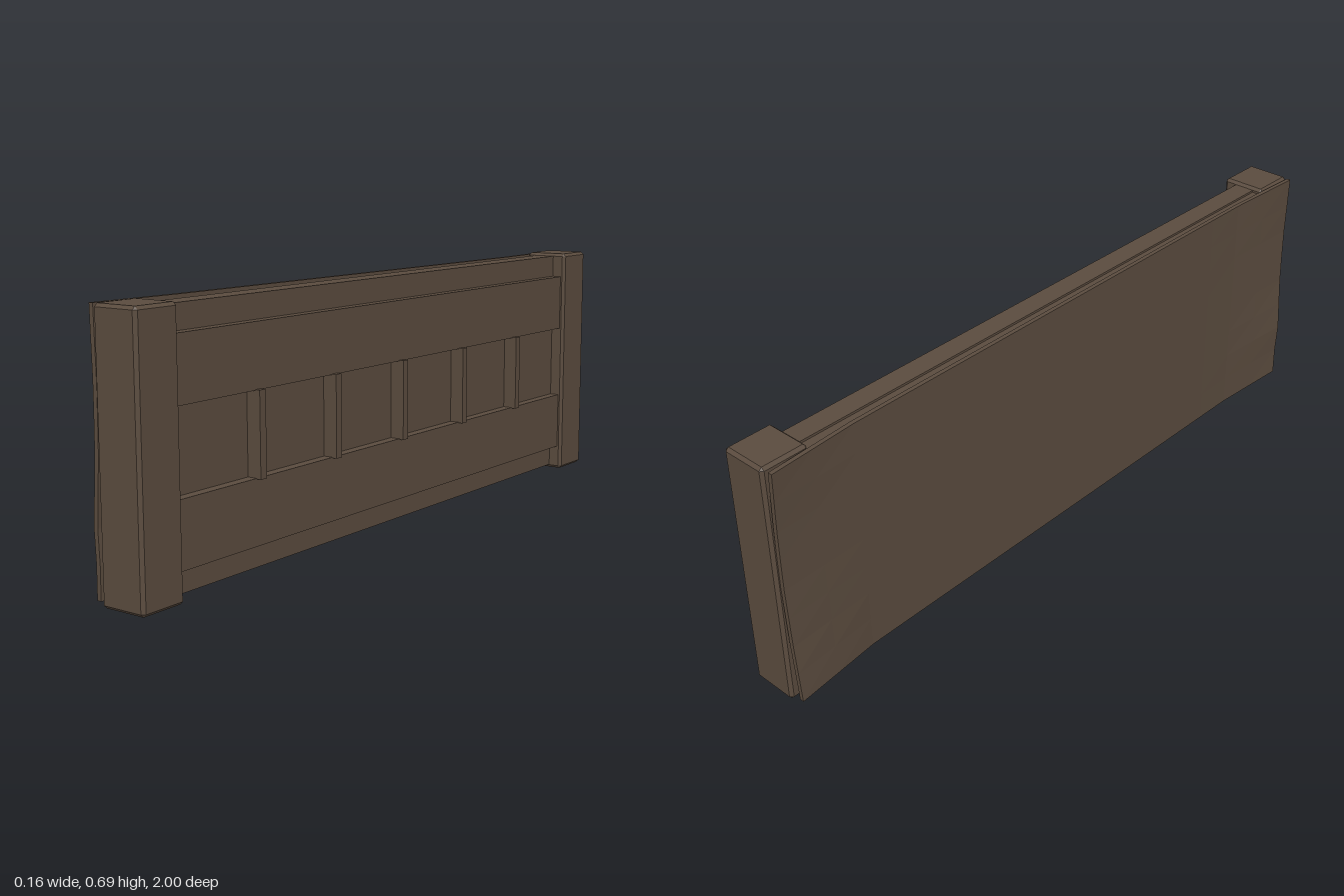
import * as THREE from 'three';
import { ConvexGeometry } from 'three/addons/geometries/ConvexGeometry.js';

export function createModel() {
  const group = new THREE.Group();
  const wood = new THREE.MeshStandardMaterial({ color: 0x5a4b3e });
  wood.name = 'darkWood';
  wood.flatShading = true;

  const add = (name, geometry) => {
    const mesh = new THREE.Mesh(geometry, wood);
    mesh.name = name;
    group.add(mesh);
    return mesh;
  };

  // Box given by its limits on each axis
  const block = (name, x0, x1, y0, y1, z0, z1) => {
    const g = new THREE.BoxGeometry(x1 - x0, y1 - y0, z1 - z0);
    g.translate((x0 + x1) / 2, (y0 + y1) / 2, (z0 + z1) / 2);
    return add(name, g);
  };

  // Box with every edge chamfered
  const chamferBox = (w, h, d, c) => {
    const points = [];
    for (const sx of [-1, 1]) for (const sy of [-1, 1]) for (const sz of [-1, 1]) {
      const x = sx * w / 2, y = sy * h / 2, z = sz * d / 2;
      points.push(
        new THREE.Vector3(x, y - sy * c, z - sz * c),
        new THREE.Vector3(x - sx * c, y, z - sz * c),
        new THREE.Vector3(x - sx * c, y - sy * c, z));
    }
    return new ConvexGeometry(points);
  };

  // End posts
  for (const s of [-1, 1]) {
    add(s > 0 ? 'frontPost' : 'backPost', chamferBox(0.13, 0.685, 0.132, 0.008))
      .position.set(0.015, 0.3435, s * 0.934);
  }

  // Recessed core and its backing
  block('corePanel', -0.02, 0.04, 0.01, 0.678, -0.88, 0.88);
  block('backing', -0.052, -0.02, 0.012, 0.672, -0.88, 0.88);

  // Raised horizontal boards
  block('lowerBoard', 0.03, 0.067, 0.073, 0.24, -0.88, 0.88);
  block('upperBoard', 0.03, 0.067, 0.452, 0.615, -0.88, 0.88);

  // Upright slats in the middle band
  for (let i = -2; i <= 2; i++) {
    const z = i * 0.295;
    block('slat', 0.03, 0.08, 0.238, 0.454, z - 0.011, z + 0.011);
  }

  // Warped sheet: both ends flare outwards by an uneven amount
  const flare = {
    front: [[0, 0.016], [0.1, 0.015], [0.18, 0.019], [0.35, 0.009], [0.5, 0.007], [0.7, 0.012]],
    back: [[0, 0.025], [0.18, 0.012], [0.35, 0.005], [0.5, 0.006], [0.7, 0.015]],
  };
  const sample = (curve, y) => {
    for (let i = 1; i < curve.length; i++) {
      const [y0, v0] = curve[i - 1], [y1, v1] = curve[i];
      if (y <= y1) return THREE.MathUtils.mapLinear(y, y0, y1, v0, v1);
    }
    return curve[curve.length - 1][1];
  };
  const sheet = new THREE.BoxGeometry(0.012, 0.67, 1.98, 1, 8, 16);
  sheet.translate(-0.052, 0.347, 0);
  const p = sheet.attributes.position;
  for (let i = 0; i < p.count; i++) {
    const y = p.getY(i), z = p.getZ(i);
    const end = THREE.MathUtils.clamp((Math.abs(z) - 0.74) / 0.25, 0, 1);
    p.setX(i, p.getX(i) - end * sample(z > 0 ? flare.front : flare.back, y));
    // Top edge rises slightly towards the front
    if (y > 0.6) p.setY(i, y + 0.003 * z);
  }
  sheet.computeVertexNormals();
  add('backSheet', sheet);

  return group;
}
